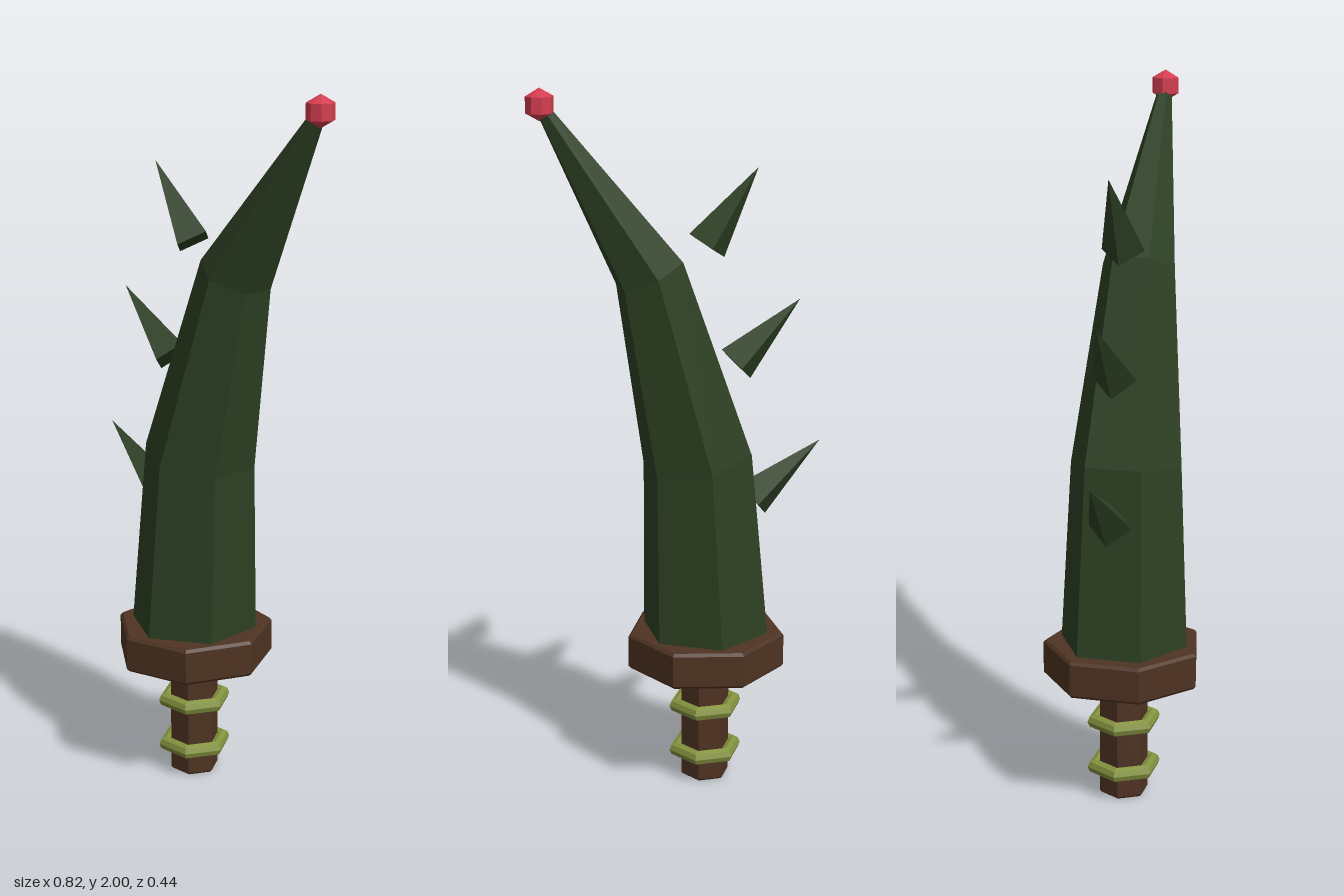
import * as THREE from 'three';

const AXIS_X = -0.08; // shared axis of handle, guard and blade base

function makeMaterial(name, color) {
  const m = new THREE.MeshStandardMaterial({ color, flatShading: true });
  m.name = name;
  return m;
}

export function createModel() {
  const model = new THREE.Group();
  model.name = 'thornSword';
  const green = makeMaterial('leafGreen', 0x2d4023);
  const brown = makeMaterial('barkBrown', 0x4e3322);
  const olive = makeMaterial('vineOlive', 0x84933f);
  const red = makeMaterial('berryRed', 0xd43d50);

  function add(name, geometry, material, x, y) {
    const mesh = new THREE.Mesh(geometry, material);
    mesh.name = name;
    mesh.position.set(x, y, 0);
    model.add(mesh);
    return mesh;
  }

  // Faceted prism with chamfered rims, one corner facing +x
  function prism(sides, r, y0, y1, c) {
    const profile = [[0, y0], [r - c, y0], [r, y0 + c], [r, y1 - c], [r - c, y1], [0, y1]]
      .map(([x, y]) => new THREE.Vector2(x, y));
    return new THREE.LatheGeometry(profile, sides, Math.PI / 2);
  }

  add('handle', prism(6, 0.07, 0, 0.37, 0.006), brown, AXIS_X, 0);
  add('guard', prism(7, 0.226, 0.35, 0.455, 0.008), brown, AXIS_X, 0);

  // Vine rings around the handle
  [0.082, 0.22].forEach((y, i) => {
    const ring = new THREE.TorusGeometry(0.085, 0.021, 8, 6);
    ring.rotateX(Math.PI / 2);
    add('vineRing' + (i + 1), ring, olive, AXIS_X, y);
  });

  // Blade: six-sided, bent along four tilted rings [x, y, radius, tilt]
  const rings = [
    [-0.08, 0.45, 0.182, 0],
    [-0.055, 0.96, 0.158, 0.175],
    [0.08, 1.495, 0.102, 0.41],
    [0.37, 1.955, 0.018, 0.56],
  ];
  const blade = new THREE.CylinderGeometry(1, 1, 1, 6, 3);
  const pos = blade.attributes.position;
  for (let i = 0; i < pos.count; i++) {
    const [cx, cy, r, tilt] = rings[Math.round((pos.getY(i) + 0.5) * 3)];
    const x = pos.getX(i) * r;
    pos.setXYZ(i, cx + x * Math.cos(tilt), cy - x * Math.sin(tilt), pos.getZ(i) * r);
  }
  blade.computeVertexNormals();
  add('blade', blade, green, 0, 0);

  // Thorns along the outer curve: [base x, base y, lean]
  [[-0.216, 0.831, 0.89], [-0.165, 1.227, 0.81], [-0.08, 1.563, 0.607]].forEach(([x, y, lean], i) => {
    const thorn = new THREE.ConeGeometry(0.06, 0.252, 4);
    thorn.translate(0, 0.126, 0);
    add('thorn' + (i + 1), thorn, green, x, y).rotation.z = lean;
  });

  // Berry on the tip
  add('tipBerry', new THREE.SphereGeometry(0.0435, 8, 3), red, 0.372, 1.957);

  return model;
}
